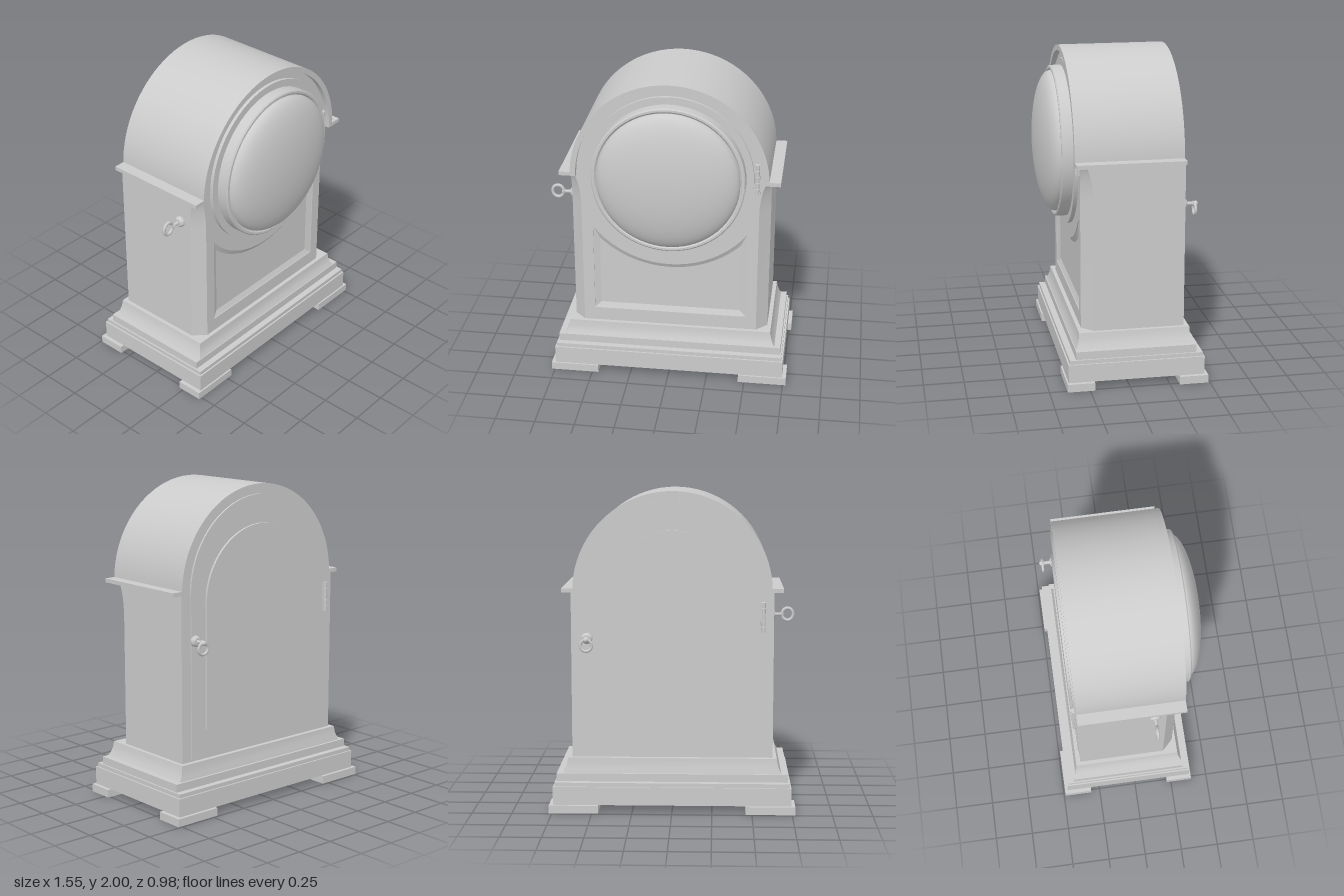
import * as THREE from 'three';
import { toCreasedNormals } from 'three/addons/utils/BufferGeometryUtils.js';

const material = new THREE.MeshStandardMaterial({ color: 0xcccccc, side: THREE.DoubleSide });
const DIAL_Y = 1.395, ARCH_Y = 1.38;

function add(parent, name, geometry, x = 0, y = 0, z = 0) {
  const mesh = new THREE.Mesh(geometry, material);
  mesh.name = name;
  mesh.position.set(x, y, z);
  parent.add(mesh);
  return mesh;
}

const box = (w, h, d) => new THREE.BoxGeometry(w, h, d);

// Joins matching cross-sections (arrays of [x, y, z]) with flat or creased faces
function loft(sections, closed, capped) {
  const p = [];
  const n = sections[0].length;
  for (let i = 0; i < sections.length - 1; i++) {
    const a = sections[i], b = sections[i + 1];
    for (let j = 0; j < (closed ? n : n - 1); j++) {
      const k = (j + 1) % n;
      p.push(...a[j], ...a[k], ...b[k], ...a[j], ...b[k], ...b[j]);
    }
  }
  if (capped) {
    const a = sections[0], b = sections[sections.length - 1];
    for (let j = 1; j < n - 1; j++) p.push(...a[0], ...a[j + 1], ...a[j], ...b[0], ...b[j], ...b[j + 1]);
  }
  const g = new THREE.BufferGeometry();
  g.setAttribute('position', new THREE.Float32BufferAttribute(p, 3));
  g.computeVertexNormals();
  return toCreasedNormals(g, 0.5);
}

// Extrudes a shape between two depths
function slab(shape, z0, z1) {
  const g = new THREE.ExtrudeGeometry(shape, { depth: z1 - z0, bevelEnabled: false, curveSegments: 20 });
  g.translate(0, 0, z0);
  return toCreasedNormals(g, 0.5);
}

// Solid of revolution about the z axis
function turned(points, segments = 48) {
  const g = new THREE.LatheGeometry(points.map(([r, z]) => new THREE.Vector2(r, z)), segments);
  g.rotateX(Math.PI / 2);
  return toCreasedNormals(g, 0.5);
}

// Round-headed outline: straight sides with a semicircle on top
function archShape(r, bottom, springY) {
  const s = new THREE.Shape();
  s.moveTo(-r, bottom);
  s.lineTo(r, bottom);
  s.lineTo(r, springY);
  s.absarc(0, springY, r, 0, Math.PI, false);
  s.closePath();
  return s;
}

function archBand(outer, inner) {
  const s = new THREE.Shape();
  s.absarc(0, ARCH_Y, outer, 0, Math.PI, false);
  s.absarc(0, ARCH_Y, inner, Math.PI, 0, true);
  s.closePath();
  return s;
}

// Panel outline whose top edge is scooped concentric with the dial
function scoopedOutline(half, bottom, r) {
  const pts = [[-half, bottom], [half, bottom]];
  const a = Math.asin(half / r);
  for (let i = 0; i <= 20; i++) {
    const t = a - (2 * a * i) / 20;
    pts.push([r * Math.sin(t), DIAL_Y - r * Math.cos(t)]);
  }
  return pts;
}

const toVectors = (pts) => pts.map(([x, y]) => new THREE.Vector2(x, y));

function addKey(parent, name) {
  const key = new THREE.Group();
  key.name = name;
  parent.add(key);
  add(key, 'escutcheon', turned([[0.035, 0], [0.035, 0.012], [0.022, 0.025], [0, 0.025]], 20));
  add(key, 'keyShaft', turned([[0.011, 0.02], [0.011, 0.06], [0.017, 0.066], [0.011, 0.073], [0.011, 0.082], [0, 0.082]], 16));
  return key;
}

// Hinge: two leaves and a row of knuckles on a pin
function addHinge(parent, name, x, y, z, height) {
  const hinge = new THREE.Group();
  hinge.name = name;
  hinge.position.set(x, y, z);
  parent.add(hinge);
  add(hinge, 'hingeLeaf', box(0.036, height, 0.012));
  for (let i = 0; i < 5; i++)
    add(hinge, 'hingeKnuckle', new THREE.CylinderGeometry(0.012, 0.012, height / 5 - 0.004, 12), 0, (i - 2) * height / 5, Math.sign(z) * 0.008);
}

export function createModel() {
  const clock = new THREE.Group();
  clock.name = 'mantelClock';

  // Block feet
  for (const s of [-1, 1]) {
    add(clock, 'frontFoot', box(0.31, 0.05, 0.17), s * 0.615, 0.025, 0.305);
    add(clock, 'backFoot', box(0.31, 0.05, 0.18), s * 0.615, 0.025, -0.4);
  }

  // Stepped plinth with a coved top: y, half width, front z, back z
  const steps = [
    [0.05, 0.745, 0.38, -0.47], [0.165, 0.745, 0.38, -0.47], [0.165, 0.735, 0.37, -0.46],
    [0.19, 0.735, 0.37, -0.46], [0.19, 0.725, 0.33, -0.42], [0.24, 0.725, 0.33, -0.42],
    [0.24, 0.685, 0.325, -0.405], [0.265, 0.673, 0.313, -0.4], [0.295, 0.662, 0.304, -0.393],
    [0.335, 0.655, 0.3, -0.39],
  ];
  add(clock, 'plinth', loft(steps.map(([y, w, f, b]) => [[-w, y, f], [w, y, f], [w, y, b], [-w, y, b]]), true, true));

  // Case walls; the chamfered front corners curve out to nothing under the ledge
  const chamfer = [[0.335, 0.07], [1.15, 0.07]];
  for (let i = 1; i <= 8; i++) {
    const t = (i / 8) * Math.PI / 2;
    chamfer.push([1.15 + 0.23 * Math.sin(t), 0.008 + 0.062 * Math.cos(t)]);
  }
  add(clock, 'caseWalls', loft(chamfer.map(([y, c]) => [
    [0.63 - c, y, 0.275], [0.63, y, 0.275 - c], [0.63, y, -0.36],
    [-0.63, y, -0.36], [-0.63, y, 0.275 - c], [-0.63 + c, y, 0.275],
  ]), false, false));

  // Front board with the opening for the sunk panel
  const edge = chamfer.map(([y, c]) => [0.63 - c, y]);
  const board = new THREE.Shape(toVectors([...edge, ...edge.map(([x, y]) => [-x, y]).reverse()]));
  const outer = scoopedOutline(0.49, 0.425, 0.62), inner = scoopedOutline(0.45, 0.46, 0.65);
  board.holes.push(new THREE.Path(toVectors(outer)));
  add(clock, 'frontBoard', slab(board, 0.25, 0.275));
  add(clock, 'panelMoulding', loft([outer.map(([x, y]) => [x, y, 0.27]), inner.map(([x, y]) => [x, y, 0.255])], true, false));
  add(clock, 'frontPanel', new THREE.ShapeGeometry(new THREE.Shape(toVectors(inner))), 0, 0, 0.255);

  // Arched hood with a stepped front moulding
  add(clock, 'archedHood', slab(archBand(0.62, 0.001), -0.355, 0.28));
  add(clock, 'outerArchMoulding', slab(archBand(0.62, 0.585), 0.27, 0.315));

  // Side ledges at the spring of the arch
  for (const s of [-1, 1]) add(clock, 'sideLedge', box(0.105, 0.025, 0.67), s * 0.6375, 1.3875, -0.02);

  // Dial surround, bezel and domed glass
  add(clock, 'dialSurround', turned([[0.525, 0.25], [0.525, 0.3], [0.4, 0.3]], 64), 0, DIAL_Y);
  add(clock, 'bezel', turned([
    [0.478, 0.29], [0.478, 0.365], [0.47, 0.372], [0.457, 0.372], [0.447, 0.362], [0.43, 0.362],
  ], 64), 0, DIAL_Y);
  const dome = [];
  for (let i = 0; i <= 16; i++) {
    const t = (i / 16) * Math.PI / 2;
    dome.push([0.446 * Math.cos(t), 0.365 + 0.12 * Math.sin(t)]);
  }
  add(clock, 'domedGlass', turned(dome, 64), 0, DIAL_Y);

  // Back door with its raised panel
  add(clock, 'backDoor', slab(archShape(0.56, 0.34, ARCH_Y), -0.367, -0.34));
  add(clock, 'backDoorPanel', slab(archShape(0.45, 0.52, 1.31), -0.382, -0.36));

  addHinge(clock, 'bezelHinge', 0.545, 1.405, 0.285, 0.2);
  addHinge(clock, 'backDoorHinge', -0.565, 1.225, -0.368, 0.19);

  // Winding key on the side, with an upright ring
  const sideKey = addKey(clock, 'sideKey');
  sideKey.position.set(-0.63, 1.18, 0.13);
  sideKey.rotation.y = -Math.PI / 2;
  const bow = add(sideKey, 'keyBow', new THREE.TorusGeometry(0.036, 0.01, 10, 28), 0, 0, 0.108);
  bow.rotation.y = Math.PI / 2;
  bow.scale.y = 1.1;

  // Back door knob with a hanging ring
  const backKey = addKey(clock, 'backDoorKnob');
  backKey.position.set(0.53, 1.09, -0.366);
  backKey.rotation.y = Math.PI;
  add(backKey, 'knobEnd', new THREE.SphereGeometry(0.016, 16, 12), 0, 0, 0.08);
  add(backKey, 'hangingRing', new THREE.TorusGeometry(0.036, 0.009, 10, 28), 0, -0.035, 0.075);

  return clock;
}
